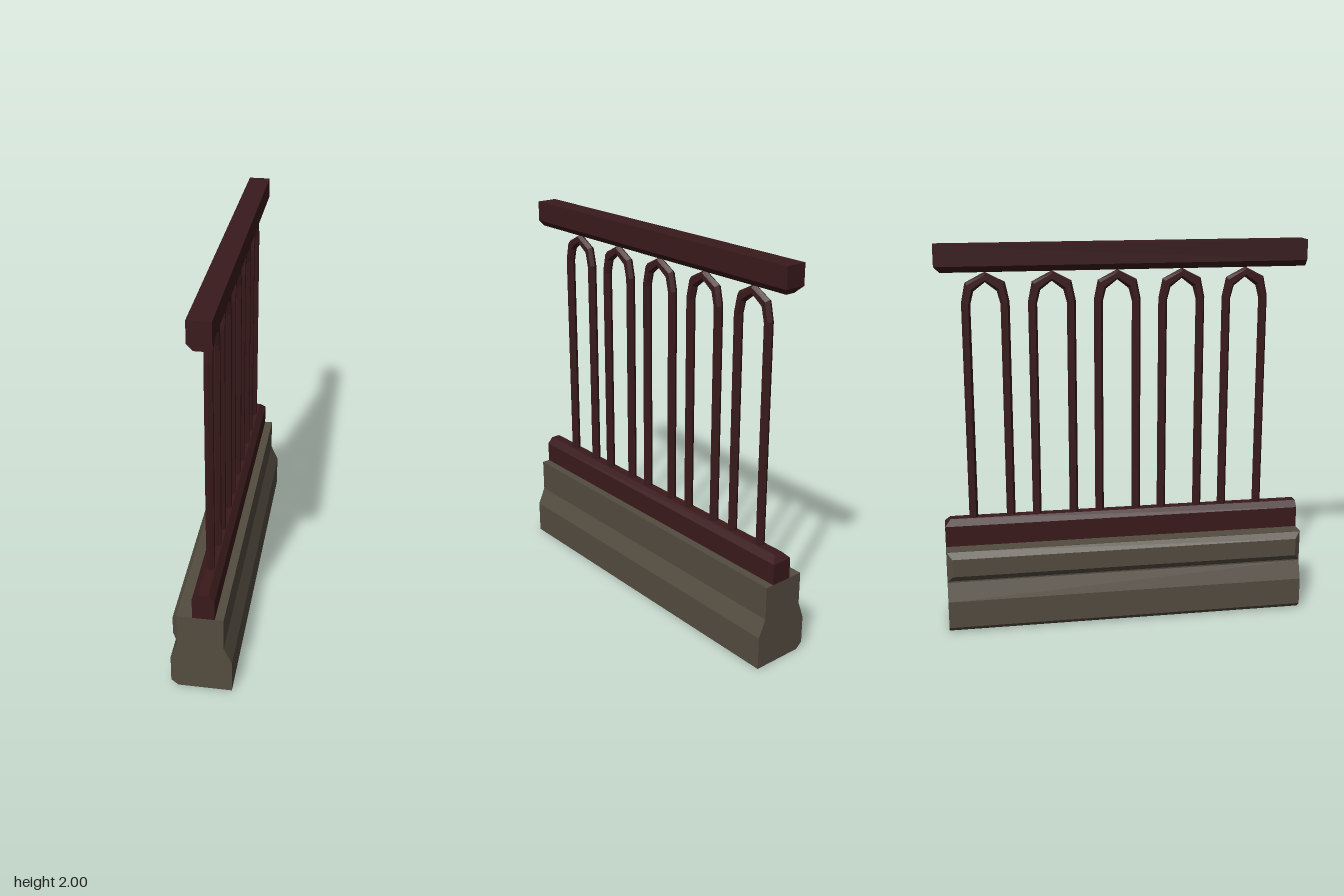
import * as THREE from 'three';
import { ConvexGeometry } from 'three/addons/geometries/ConvexGeometry.js';

const LENGTH = 1.9, END = LENGTH / 2, RAIL_X = 0.012;
const iron = new THREE.MeshStandardMaterial({ color: 0x3a1a1b, flatShading: true });
const stone = new THREE.MeshStandardMaterial({ color: 0x544c40, flatShading: true });

function part(name, geometry, material) {
  const mesh = new THREE.Mesh(geometry, material);
  mesh.name = name;
  return mesh;
}

// Stone plinth: one profile run along z
function plinth() {
  const profile = [[-0.12, 0], [0.15, 0], [0.15, 0.175], [0.11, 0.265], [0.11, 0.44],
    [-0.12, 0.44], [-0.12, 0.27], [-0.155, 0.175], [-0.155, 0.03]];
  const shape = new THREE.Shape(profile.map(([x, y]) => new THREE.Vector2(x, y)));
  const geometry = new THREE.ExtrudeGeometry(shape, { depth: LENGTH, bevelEnabled: false });
  return geometry.translate(0, 0, -END);
}

// Moulding on the plinth, bevelled all round
function moulding() {
  const points = [];
  for (const s of [-1, 1]) {
    for (const y of [0.275, 0.44]) points.push(new THREE.Vector3(-0.118, y, s * END));
    for (const y of [0.31, 0.405]) points.push(new THREE.Vector3(-0.145, y, s * (END - 0.03)));
  }
  return new ConvexGeometry(points);
}

// Rail with a flat outer side and a chamfered side that faces the balusters
function rail(flatY, edgeY, tipY) {
  const points = [];
  for (const s of [-1, 1]) {
    const x = RAIL_X + s * 0.055;
    for (const z of [-END, END]) {
      points.push(new THREE.Vector3(x, flatY, z), new THREE.Vector3(x, edgeY, z));
    }
    for (const z of [-END + 0.03, END]) {
      points.push(new THREE.Vector3(RAIL_X + s * 0.025, tipY, z));
    }
  }
  return new ConvexGeometry(points);
}

// Pointed-arch baluster: six-sided bar swept through mitred stations
function balusterArch() {
  // inner z, inner y, outer z, outer y
  const half = [[0.075, 0.57, 0.121, 0.57], [0.075, 1.7, 0.121, 1.71],
    [0.058, 1.765, 0.1, 1.81], [0, 1.81, 0, 1.862]];
  const mirrored = half.slice(0, 3).reverse().map(([a, b, c, d]) => [-a, b, -c, d]);
  const stations = [...half, ...mirrored];
  const sides = 6, positions = [], index = [];
  for (const [iz, iy, oz, oy] of stations) {
    for (let k = 0; k < sides; k++) {
      const a = (k / sides) * Math.PI * 2, t = (1 + Math.cos(a)) / 2;
      positions.push(RAIL_X + 0.023 * Math.sin(a), iy + (oy - iy) * t, iz + (oz - iz) * t);
    }
  }
  for (let i = 0; i < stations.length - 1; i++) {
    for (let k = 0; k < sides; k++) {
      const a = i * sides + k, b = i * sides + (k + 1) % sides;
      index.push(a, b, b + sides, a, b + sides, a + sides);
    }
  }
  const geometry = new THREE.BufferGeometry();
  geometry.setAttribute('position', new THREE.Float32BufferAttribute(positions, 3));
  geometry.setIndex(index);
  const flat = geometry.toNonIndexed();
  flat.computeVertexNormals();
  return flat;
}

export function createModel() {
  const model = new THREE.Group();
  model.name = 'balustrade';
  model.add(
    part('plinth', plinth(), stone),
    part('plinthMoulding', moulding(), stone),
    part('bottomRail', rail(0.44, 0.55, 0.582), iron),
    part('topRail', rail(2, 1.895, 1.863), iron),
  );

  // Row of five arches
  const balusters = new THREE.Group();
  balusters.name = 'balusters';
  const arch = balusterArch();
  for (let i = 0; i < 5; i++) {
    const mesh = part('balusterArch' + (i + 1), arch, iron);
    mesh.position.z = 0.636 - i * 0.334;
    balusters.add(mesh);
  }
  model.add(balusters);
  return model;
}
